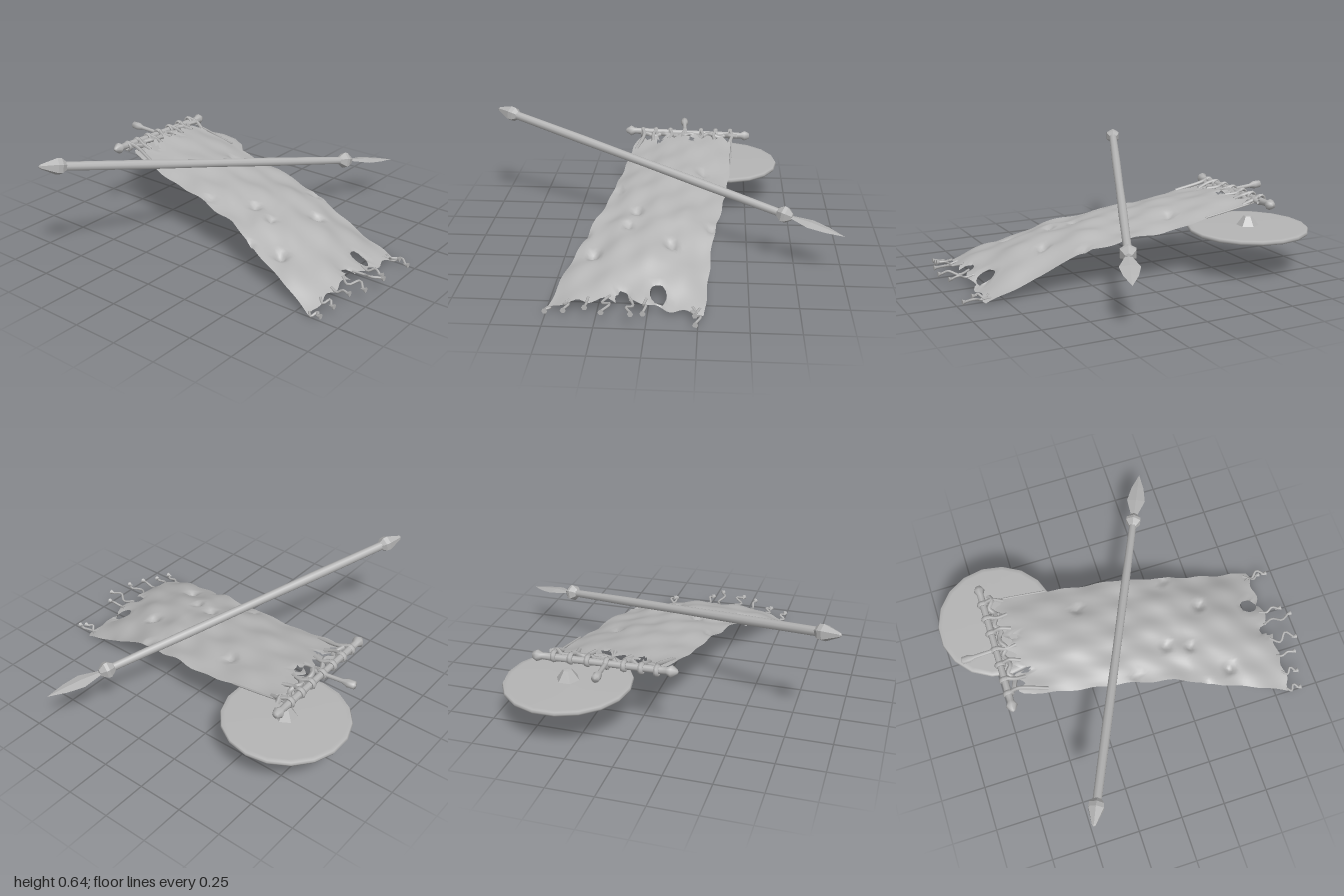
import * as THREE from 'three';

const stone = new THREE.MeshStandardMaterial({ color: 0xb4b4b4, side: THREE.DoubleSide });
stone.name = 'plain grey';

const V = (x, y, z) => new THREE.Vector3(x, y, z);

function add(parent, name, geometry) {
  const mesh = new THREE.Mesh(geometry, stone);
  mesh.name = name;
  parent.add(mesh);
  return mesh;
}

// Piecewise linear lookup through [input, output] pairs
function lookup(pairs, t) {
  for (let i = 1; i < pairs.length; i++) {
    if (t <= pairs[i][0] || i === pairs.length - 1) {
      const [a, b] = [pairs[i - 1], pairs[i]];
      return b[1] + (a[1] - b[1]) * (b[0] - t) / (b[0] - a[0]);
    }
  }
}

const lathe = (profile, sides) =>
  new THREE.LatheGeometry(profile.map(p => new THREE.Vector2(p[0], p[1])), sides);

// Lathe with hard facets
function facetedLathe(profile, sides) {
  const g = lathe(profile, sides).toNonIndexed();
  g.computeVertexNormals();
  return g;
}

const cord = (points, radius) =>
  new THREE.TubeGeometry(new THREE.CatmullRomCurve3(points), points.length * 3, radius, 5);

// Group whose y axis runs along a line, with x kept level
function along(name, from, to) {
  const group = new THREE.Group();
  const dir = to.clone().sub(from).normalize();
  const side = dir.clone().cross(V(0, 1, 0)).normalize();
  const basis = new THREE.Matrix4().makeBasis(side, dir, side.clone().cross(dir));
  group.quaternion.setFromRotationMatrix(basis);
  group.position.copy(from);
  group.name = name;
  return group;
}

// Outline of the cloth in plan, and its fall from the bar to the hem
const backEdge = [[-0.7, -0.41], [-0.33, -0.4], [0, -0.375], [0.4, -0.31], [0.86, -0.28]];
const frontEdge = [[-0.7, 0.15], [-0.5, 0.19], [-0.1, 0.245], [0.2, 0.3], [0.3, 0.34], [0.6, 0.43], [0.84, 0.5]];
const fall = [[-0.7, 0.415], [-0.4, 0.36], [0, 0.288], [0.3, 0.228], [0.6, 0.128], [0.86, 0.02]];

// Creased dents pressed into the cloth: x, z, radius, depth
const dents = [
  [0.47, -0.1, 0.045, 0.04], [0.33, 0.14, 0.035, 0.03], [0.52, 0.3, 0.045, 0.04], [0.2, 0.1, 0.04, 0.035],
  [-0.22, -0.24, 0.04, 0.025], [0.32, -0.3, 0.04, 0.025], [-0.02, 0.22, 0.03, 0.02], [0.36, 0.36, 0.03, 0.02],
];

function clothPoint(x, v) {
  const z0 = lookup(backEdge, x), z1 = lookup(frontEdge, x);
  const z = z0 + (z1 - z0) * v + 0.004 * Math.sin(x * 31) * Math.pow(Math.abs(2 * v - 1), 6);
  const loose = THREE.MathUtils.smoothstep(x, -0.7, 0.3);
  const bulge = (0.03 + 0.027 * loose) * Math.sin(Math.PI * v);
  const folds = 0.008 * Math.sin(7 * x - 5 * v) + 0.006 * Math.sin(17 * x + 9 * v + 1)
    + 0.004 * Math.sin(25 * x - 16 * v) + 0.004 * Math.sin(6 * x + 25 * v);
  let y = lookup(fall, x) + bulge + folds * (0.5 + 0.5 * loose);
  for (const [dx, dz, r, depth] of dents) {
    y -= depth * Math.max(0, 1 - Math.hypot(x - dx, z - dz) / r);
  }
  return V(x, y, z);
}

// Open tears: x, z, half length, half width
const tears = [
  [0.775, -0.05, 0.052, 0.042], [0.83, 0.125, 0.05, 0.034], [-0.59, 0.03, 0.025, 0.018], [-0.6, -0.17, 0.022, 0.018],
];

function clothGeometry() {
  const nx = 76, nv = 38, positions = [], index = [];
  const tearDistance = (p, t) => Math.hypot((p.x - t[0]) / t[2], (p.z - t[1]) / t[3]);
  for (let i = 0; i <= nx; i++) {
    for (let j = 0; j <= nv; j++) {
      const v = j / nv;
      const hem = 0.855 - 0.02 * v + 0.01 * Math.sin(v * 37);
      const head = -0.635 + 0.025 * Math.sin(v * 44);
      const p = clothPoint(head + (hem - head) * i / nx, v);
      // Pull nearby vertices on to the rim of each tear and curl it down
      for (const t of tears) {
        const d = tearDistance(p, t);
        if (d > 0.75 && d < 1.3) {
          p.x = t[0] + (p.x - t[0]) / d;
          p.z = t[1] + (p.z - t[1]) / d;
          p.y -= 0.008;
        }
      }
      positions.push(p.x, p.y, p.z);
    }
  }
  const at = k => V(positions[3 * k], positions[3 * k + 1], positions[3 * k + 2]);
  const face = (a, b, c) => {
    const mid = at(a).add(at(b)).add(at(c)).divideScalar(3);
    if (!tears.some(t => tearDistance(mid, t) < 0.97)) index.push(a, b, c);
  };
  for (let i = 0; i < nx; i++) {
    for (let j = 0; j < nv; j++) {
      const a = i * (nv + 1) + j, b = a + nv + 1;
      face(a, a + 1, b);
      face(b, a + 1, b + 1);
    }
  }
  const g = new THREE.BufferGeometry();
  g.setAttribute('position', new THREE.Float32BufferAttribute(positions, 3));
  g.setIndex(index);
  g.computeVertexNormals();
  return g;
}

function makeBanner() {
  const banner = new THREE.Group();
  banner.name = 'banner';
  add(banner, 'cloth', clothGeometry());

  // Frayed cords with knotted ends: hem position, reach in x, drift in z
  const fringe = [[0.03, 0.95, 0.02], [0.08, 0.9, -0.015], [0.37, 0.94, 0.01], [0.48, 0.98, -0.02],
    [0.6, 0.96, 0.03], [0.74, 0.92, 0.005], [0.86, 0.9, 0.02], [0.98, 0.885, 0.02]];
  fringe.forEach(([v, reach, drift], i) => {
    const a = clothPoint(0.82, v), y = Math.max(a.y, 0.04), len = reach - 0.82;
    const end = V(reach, y + (i % 2 ? 0.005 : -0.01), a.z + drift);
    add(banner, 'fringeCord', cord([a, V(0.82 + len * 0.4, y - 0.012, a.z + drift * 1.2),
      V(0.82 + len * 0.7, y + 0.006, a.z - drift * 0.3), end], 0.007));
    const knot = add(banner, 'fringeKnot', new THREE.ConeGeometry(0.015, 0.034, 6));
    knot.position.copy(end);
    knot.rotation.z = Math.PI / 2;
  });

  // Crossbar with a knob at each end
  const bar = along('crossbar', V(-0.71, 0.41, -0.52), V(-0.715, 0.43, 0.25));
  add(bar, 'crossbarRod', lathe([[0, 0], [0.018, 0.004], [0.031, 0.03], [0.018, 0.055], [0.02, 0.1], [0.018, 0.4],
    [0.02, 0.68], [0.019, 0.71], [0.033, 0.735], [0.012, 0.765], [0, 0.77]], 8));
  banner.add(bar);

  // Short pole stub behind the crossbar
  const stub = along('poleStub', V(-0.91, 0.438, -0.11), V(-0.64, 0.42, -0.125));
  add(stub, 'stubRod', lathe([[0, 0], [0.021, 0.006], [0.023, 0.045], [0.012, 0.075], [0.011, 0.17],
    [0.016, 0.2], [0.012, 0.26], [0, 0.27]], 8));
  banner.add(stub);

  // Cloth loops round the bar, each with a strap running into the cloth
  [-0.4, -0.31, -0.22, -0.12, -0.03, 0.06, 0.14].forEach((z, i) => {
    const loop = add(banner, 'loop', new THREE.TorusGeometry(0.024, 0.009, 6, 10));
    loop.position.set(-0.712, 0.421, z);
    loop.scale.z = 1.6;
    const v = (z + 0.41) / 0.57;
    const end = clothPoint(i === 6 ? -0.5 : -0.6, THREE.MathUtils.clamp(v, 0.02, 0.96));
    const skew = i % 2 ? 0.012 : -0.012;
    add(banner, 'strap', cord([V(-0.7, 0.442, z), V(-0.66, 0.428, z + skew), end], 0.011));
  });

  // Gathered cord between the loops and the cloth
  const gather = [];
  for (let i = 0; i <= 16; i++) {
    gather.push(V(-0.67 + 0.015 * Math.sin(i * 2.3), 0.42 + 0.008 * Math.sin(i * 1.7), -0.44 + i * 0.036));
  }
  add(banner, 'gatheredCord', cord(gather, 0.014));
  add(banner, 'edgeCord', cord([V(-0.71, 0.42, -0.41), V(-0.55, 0.39, -0.408), V(-0.36, 0.355, -0.4)], 0.006));
  return banner;
}

function makeSpear() {
  const spear = along('spear', V(-0.45, 0.61, 0.9), V(0.27, 0.31, -0.7));
  add(spear, 'shaft', lathe([[0.024, 0.02], [0.026, 0.5], [0.023, 0.9], [0.025, 1.3], [0.021, 1.76]], 10));
  add(spear, 'buttSpike', facetedLathe([[0, -0.105], [0.012, -0.095], [0.045, -0.01], [0.043, 0.015], [0.024, 0.04]], 6));
  add(spear, 'collar', facetedLathe([[0.021, 1.725], [0.03, 1.735], [0.048, 1.76], [0.046, 1.778], [0.02, 1.81], [0, 1.815]], 6));
  const blade = add(spear, 'blade', facetedLathe([[0.014, 1.79], [0.022, 1.82], [0.053, 1.915], [0.036, 2.01], [0, 2.11]], 4));
  blade.scale.z = 0.2;
  return spear;
}

function makeShield() {
  const shield = new THREE.Group();
  shield.name = 'shield';
  // Shallow disc with a thin rim
  add(shield, 'disc', lathe([[0, -0.014], [0.15, -0.014], [0.31, -0.012], [0.332, -0.012], [0.338, 0],
    [0.332, 0.01], [0.31, 0.011], [0.15, 0.014], [0, 0.016]], 18));
  // Pointed boss on both faces
  add(shield, 'boss', facetedLathe([[0, -0.05], [0.02, -0.048], [0.064, -0.012], [0.064, 0.012],
    [0.024, 0.068], [0, 0.07]], 6));
  shield.position.set(-0.663, 0.257, -0.352);
  shield.rotation.x = -0.015;
  return shield;
}

export function createModel() {
  const model = new THREE.Group();
  model.name = 'bannerSpearAndShield';
  model.add(makeShield(), makeBanner(), makeSpear());
  return model;
}
